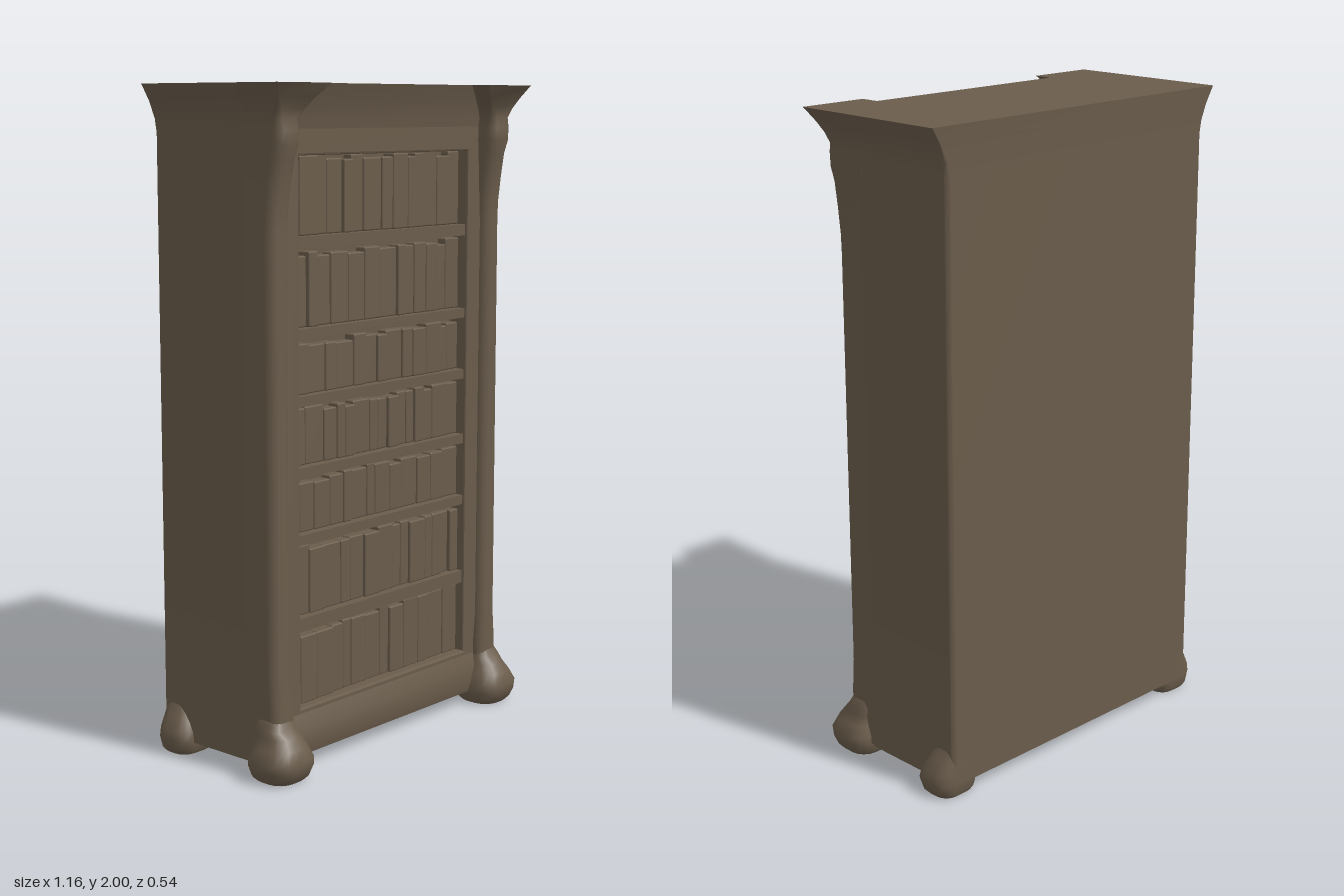
import * as THREE from 'three';
import { toCreasedNormals } from 'three/addons/utils/BufferGeometryUtils.js';
import { RoundedBoxGeometry } from 'three/addons/geometries/RoundedBoxGeometry.js';

const wood = new THREE.MeshStandardMaterial({ color: 0x6a5c4b });
wood.name = 'dark walnut';

// Closed solid through rounded rectangles: rows of [y, x0, x1, z0, z1, radius]
function loft(rows, crease = 0.7) {
  const pos = [], index = [], steps = 5, n = steps * 4;
  for (const [y, x0, x1, z0, z1, r] of rows) {
    const corners = [[x1 - r, z0 + r], [x0 + r, z0 + r], [x0 + r, z1 - r], [x1 - r, z1 - r]];
    corners.forEach(([cx, cz], q) => {
      for (let i = 0; i < steps; i++) {
        const a = (q + i / (steps - 1)) * Math.PI / 2;
        pos.push(cx + r * Math.cos(a), y, cz - r * Math.sin(a));
      }
    });
  }
  for (let k = 0; k < rows.length - 1; k++) {
    for (let i = 0; i < n; i++) {
      const a = k * n + i, b = k * n + (i + 1) % n;
      index.push(a, b, b + n, a, b + n, a + n);
    }
  }
  const last = (rows.length - 1) * n;
  for (let i = 1; i < n - 1; i++) {
    index.push(0, i + 1, i, last, last + i, last + i + 1);
  }
  const g = new THREE.BufferGeometry();
  g.setAttribute('position', new THREE.Float32BufferAttribute(pos, 3));
  g.setIndex(index);
  return toCreasedNormals(g, crease);
}

function seeded(seed) {
  return () => (seed = (seed * 16807) % 2147483647) / 2147483647;
}

export function createModel() {
  const model = new THREE.Group();
  model.name = 'bookcase';
  const add = (name, geometry, parent = model) => {
    const mesh = new THREE.Mesh(geometry, wood);
    mesh.name = name;
    parent.add(mesh);
    return mesh;
  };
  const box = (name, x0, x1, y0, y1, z0, z1, parent) => {
    add(name, new THREE.BoxGeometry(x1 - x0, y1 - y0, z1 - z0), parent)
      .position.set((x0 + x1) / 2, (y0 + y1) / 2, (z0 + z1) / 2);
  };

  // Carcass: flush back, sides flaring out at the top
  add('carcass', loft([
    [0.04, -0.53, 0.53, -0.27, 0.1, 0.015],
    [1.86, -0.53, 0.53, -0.27, 0.1, 0.015],
    [1.9, -0.535, 0.535, -0.27, 0.1, 0.012],
    [1.95, -0.552, 0.552, -0.27, 0.1, 0.006],
    [2, -0.58, 0.58, -0.27, 0.1, 0.002],
  ]));

  // Cornice above the front rail
  add('cornice', loft([
    [1.84, -0.46, 0.46, 0, 0.165, 0.003],
    [1.9, -0.46, 0.46, 0, 0.174, 0.003],
    [1.95, -0.46, 0.46, 0, 0.187, 0.003],
    [2, -0.46, 0.46, 0, 0.206, 0.003],
  ]));

  // Front frame round the shelf opening
  const outline = new THREE.Shape();
  outline.moveTo(-0.46, 0.045).lineTo(0.46, 0.045).lineTo(0.46, 1.9).lineTo(-0.46, 1.9).closePath();
  const opening = new THREE.Path();
  opening.moveTo(-0.395, 0.175).lineTo(-0.395, 1.805).lineTo(0.395, 1.805).lineTo(0.395, 0.175).closePath();
  outline.holes.push(opening);
  const frame = new THREE.ExtrudeGeometry(outline, {
    depth: 0.07, bevelThickness: 0.006, bevelSize: 0.006, bevelSegments: 2,
  });
  add('frontFrame', frame).position.z = 0.094;

  // Softly rounded plinth below the opening
  add('plinth', loft([
    [0.042, -0.46, 0.46, 0, 0.18, 0.004],
    [0.07, -0.46, 0.46, 0, 0.188, 0.004],
    [0.12, -0.46, 0.46, 0, 0.184, 0.004],
    [0.165, -0.46, 0.46, 0, 0.17, 0.004],
  ]));

  // Shelves with a row of books on each
  const floors = [0.18, 0.45, 0.7, 0.9, 1.11, 1.305, 1.57];
  const ceilings = [0.41, 0.67, 0.87, 1.08, 1.275, 1.535, 1.81];
  const random = seeded(41);
  floors.forEach((floor, i) => {
    if (i > 0) box('shelf', -0.4, 0.4, ceilings[i - 1], floor, 0.05, 0.16);
    const row = new THREE.Group();
    row.name = 'bookRow';
    model.add(row);
    for (let x = -0.392; x < 0.39;) {
      let w = 0.035 + random() * 0.045;
      if (x + w > 0.36) w = 0.392 - x;
      const h = ceilings[i] - floor - 0.006 - random() * 0.02;
      const d = 0.07 + random() * 0.012;
      add('book', new RoundedBoxGeometry(w, h, d, 2, 0.005), row)
        .position.set(x + w / 2, floor + h / 2, 0.06 + d / 2);
      x += w;
    }
  });

  // Corner columns with carved capitals, and bun feet; written for +x and mirrored
  const mirrored = (name, rows) => {
    for (const s of [1, -1]) {
      const side = rows.map(([y, a, b, z0, z1, r]) =>
        s > 0 ? [y, a, b, z0, z1, r] : [y, -b, -a, z0, z1, r]);
      add((s > 0 ? 'left' : 'right') + name, loft(side, 0.9));
    }
  };
  mirrored('Column', [
    [0.045, 0.44, 0.53, 0.05, 0.2, 0.02],
    [0.2, 0.442, 0.53, 0.05, 0.204, 0.03],
    [0.3, 0.45, 0.53, 0.05, 0.2, 0.035],
    [1.58, 0.45, 0.53, 0.05, 0.198, 0.035],
    [1.64, 0.447, 0.53, 0.05, 0.2, 0.035],
    [1.72, 0.445, 0.53, 0.05, 0.21, 0.035],
    [1.79, 0.44, 0.53, 0.05, 0.221, 0.035],
    [1.83, 0.438, 0.532, 0.05, 0.233, 0.034],
    [1.87, 0.438, 0.532, 0.05, 0.234, 0.032],
    [1.9, 0.438, 0.534, 0.05, 0.225, 0.025],
    [1.93, 0.42, 0.543, 0.05, 0.233, 0.018],
    [1.96, 0.397, 0.556, 0.05, 0.247, 0.01],
    [2, 0.358, 0.58, 0.05, 0.268, 0.002],
  ]);
  mirrored('FrontFoot', [
    [0, 0.425, 0.555, 0.115, 0.245, 0.05],
    [0.012, 0.412, 0.567, 0.105, 0.256, 0.055],
    [0.04, 0.405, 0.578, 0.1, 0.268, 0.06],
    [0.065, 0.405, 0.58, 0.1, 0.27, 0.06],
    [0.1, 0.42, 0.563, 0.11, 0.256, 0.055],
    [0.13, 0.434, 0.546, 0.11, 0.235, 0.045],
    [0.15, 0.44, 0.546, 0.11, 0.213, 0.035],
    [0.18, 0.445, 0.529, 0.11, 0.2, 0.03],
  ]);
  mirrored('BackFoot', [
    [0, 0.43, 0.555, -0.262, -0.155, 0.04],
    [0.012, 0.42, 0.567, -0.268, -0.148, 0.045],
    [0.045, 0.412, 0.575, -0.27, -0.14, 0.045],
    [0.075, 0.415, 0.57, -0.27, -0.145, 0.045],
    [0.11, 0.43, 0.55, -0.27, -0.16, 0.04],
    [0.15, 0.44, 0.528, -0.268, -0.18, 0.03],
  ]);

  return model;
}
